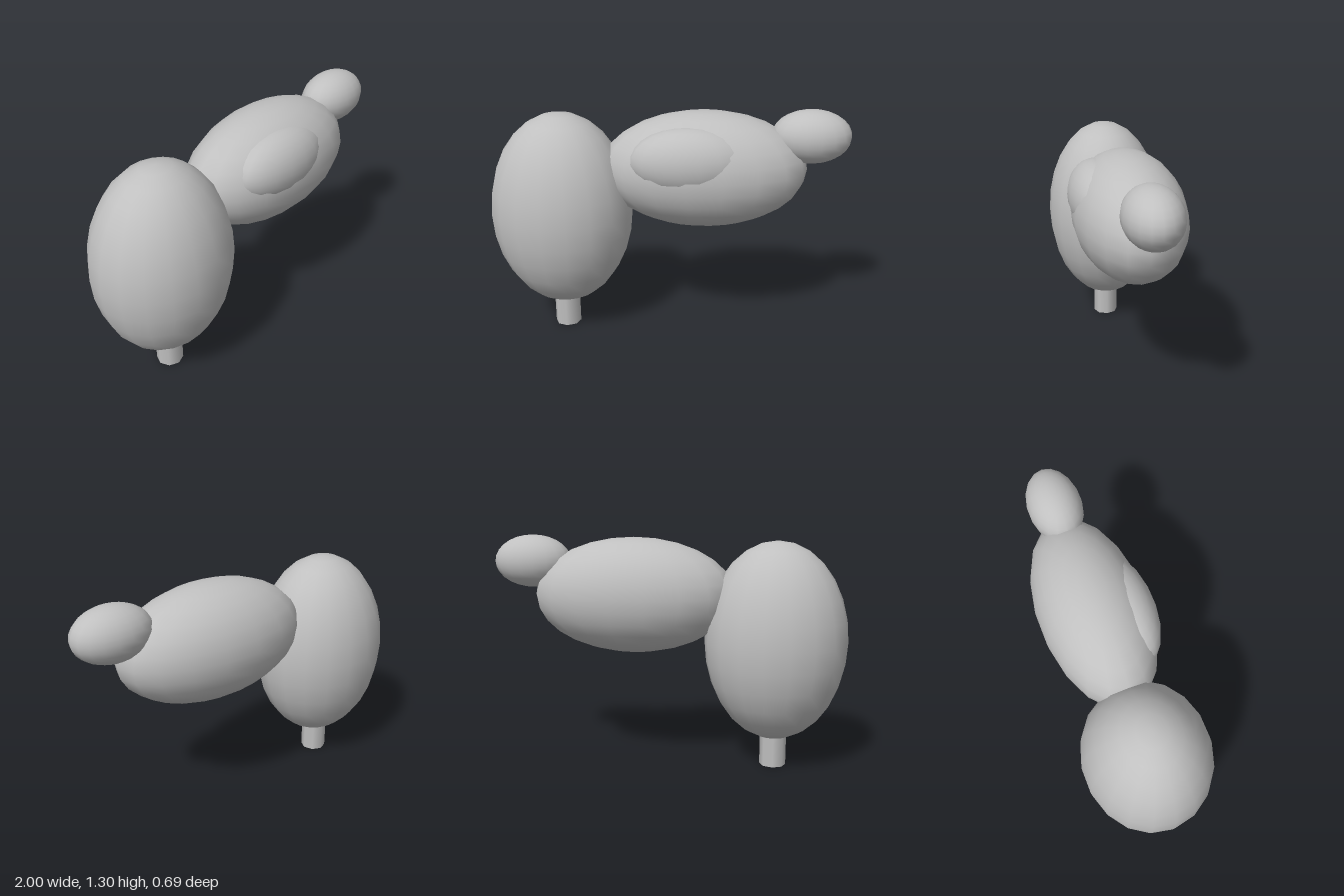
import * as THREE from 'three';

export function createModel() {
  const model = new THREE.Group();
  const grey = new THREE.MeshStandardMaterial({ color: 0xc0c0c0 });
  grey.name = 'plain grey';

  const add = (name, geometry, position) => {
    const mesh = new THREE.Mesh(geometry, grey);
    mesh.name = name;
    mesh.position.set(...position);
    model.add(mesh);
  };

  // Sphere stretched to the three given radii, with normals scaled to match
  const ellipsoid = (name, position, radii) =>
    add(name, new THREE.SphereGeometry(1, 18, 14).scale(...radii), position);

  // Upright egg-shaped mass on a short stem
  ellipsoid('uprightBody', [-0.6, 0.72, 0], [0.4, 0.56, 0.35]);
  const stem = new THREE.CylinderGeometry(0.075, 0.075, 0.24, 8);
  add('stem', stem, [-0.6, 0.12, 0]);

  // Horizontal mass with a shallow bulge on its front side
  ellipsoid('horizontalBody', [0.2, 0.97, 0], [0.57, 0.325, 0.3]);
  ellipsoid('sideBulge', [0.12, 1.05, 0.15], [0.33, 0.19, 0.16]);

  // Small rounded tip
  ellipsoid('tip', [0.78, 1.157, 0], [0.22, 0.148, 0.148]);

  return model;
}
